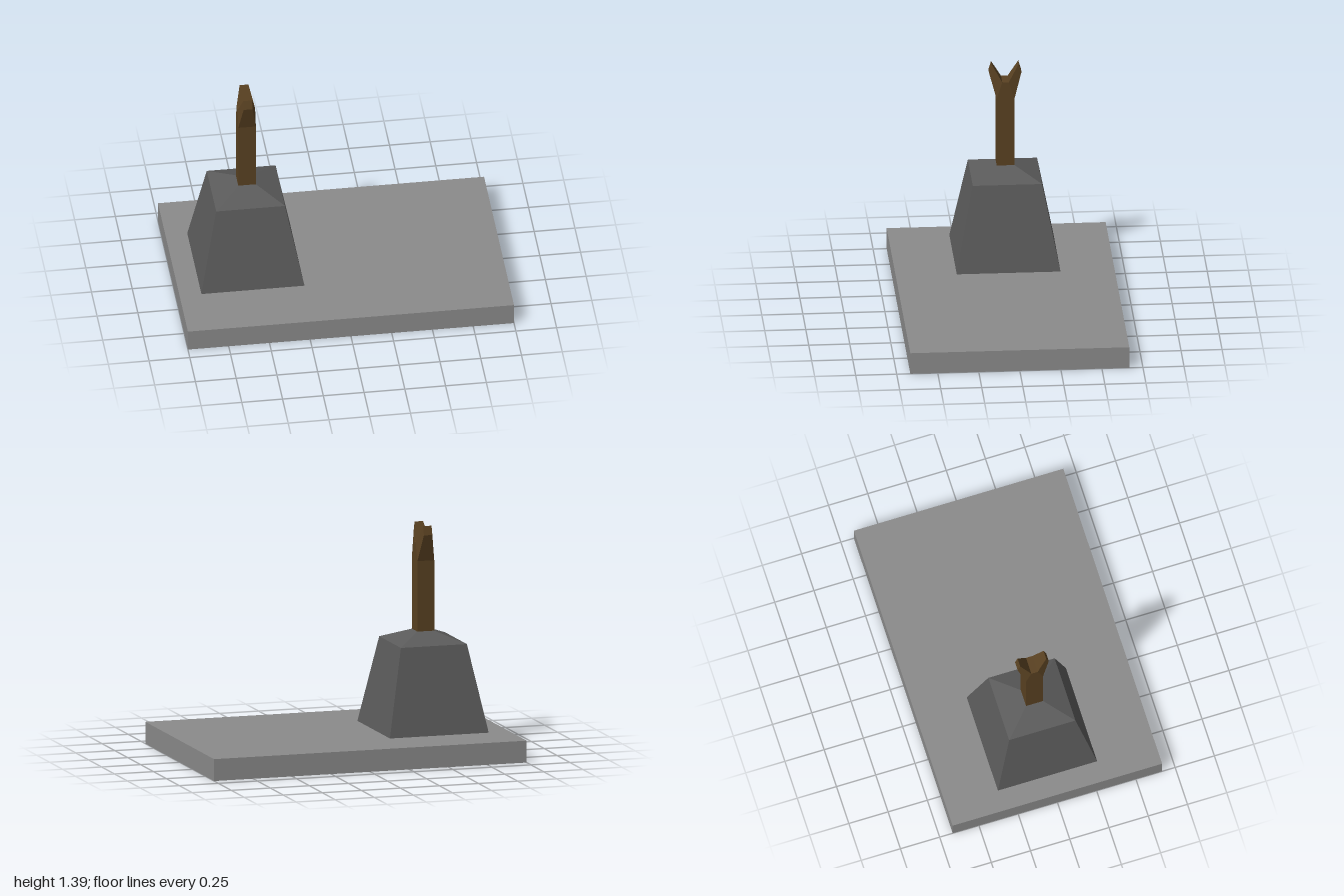
import * as THREE from 'three';

const X = -0.55, Z = -0.021;      // centre of the pedestal and post
const BASE_TOP = 0.135, SHOULDER = 0.67, CAP_TOP = 0.735;
const POST_HALF = 0.054;

function material(name, color) {
  const m = new THREE.MeshStandardMaterial({ color, flatShading: true });
  m.name = name;
  return m;
}

// Square frustum between two heights, given half widths
function frustum(bottomHalf, topHalf, y0, y1) {
  const g = new THREE.CylinderGeometry(topHalf * Math.SQRT2, bottomHalf * Math.SQRT2, y1 - y0, 4);
  g.rotateY(Math.PI / 4);
  g.translate(0, (y0 + y1) / 2, 0);
  return g;
}

// Post with a forked top: extruded side outline, with the prong tips narrowed
function forkedPost() {
  const half = [[POST_HALF, CAP_TOP], [POST_HALF, 1.17], [0.099, 1.335], [0.083, 1.39], [0.02, 1.28]];
  const mirrored = half.map(([z, y]) => [-z, y]).reverse();
  const outline = [...half, ...mirrored].map(([z, y]) => new THREE.Vector2(z, y));
  const g = new THREE.ExtrudeGeometry(new THREE.Shape(outline), { depth: POST_HALF * 2, bevelEnabled: false });
  g.translate(0, 0, -POST_HALF);
  g.rotateY(Math.PI / 2);
  const p = g.attributes.position;
  for (let i = 0; i < p.count; i++) {
    if (p.getY(i) > 1.3) p.setX(i, p.getX(i) * 0.5);
  }
  g.computeVertexNormals();
  return g;
}

export function createModel() {
  const model = new THREE.Group();
  const lightStone = material('lightStone', 0x8b8b8b);
  const darkStone = material('darkStone', 0x5b5b5b);
  const wood = material('wood', 0x5a4222);

  const add = (name, geometry, mat, x = 0, y = 0, z = 0) => {
    const mesh = new THREE.Mesh(geometry, mat);
    mesh.name = name;
    mesh.position.set(x, y, z);
    model.add(mesh);
  };

  // Slab
  add('baseSlab', new THREE.BoxGeometry(2, BASE_TOP, 1.334), lightStone, 0, BASE_TOP / 2, 0);
  // Pedestal
  add('pedestalBody', frustum(0.316, 0.211, BASE_TOP, SHOULDER), darkStone, X, 0, Z);
  add('pedestalCap', frustum(0.211, POST_HALF, SHOULDER, CAP_TOP), darkStone, X, 0, Z);
  // Post
  add('forkedPost', forkedPost(), wood, X, 0, Z);
  return model;
}
